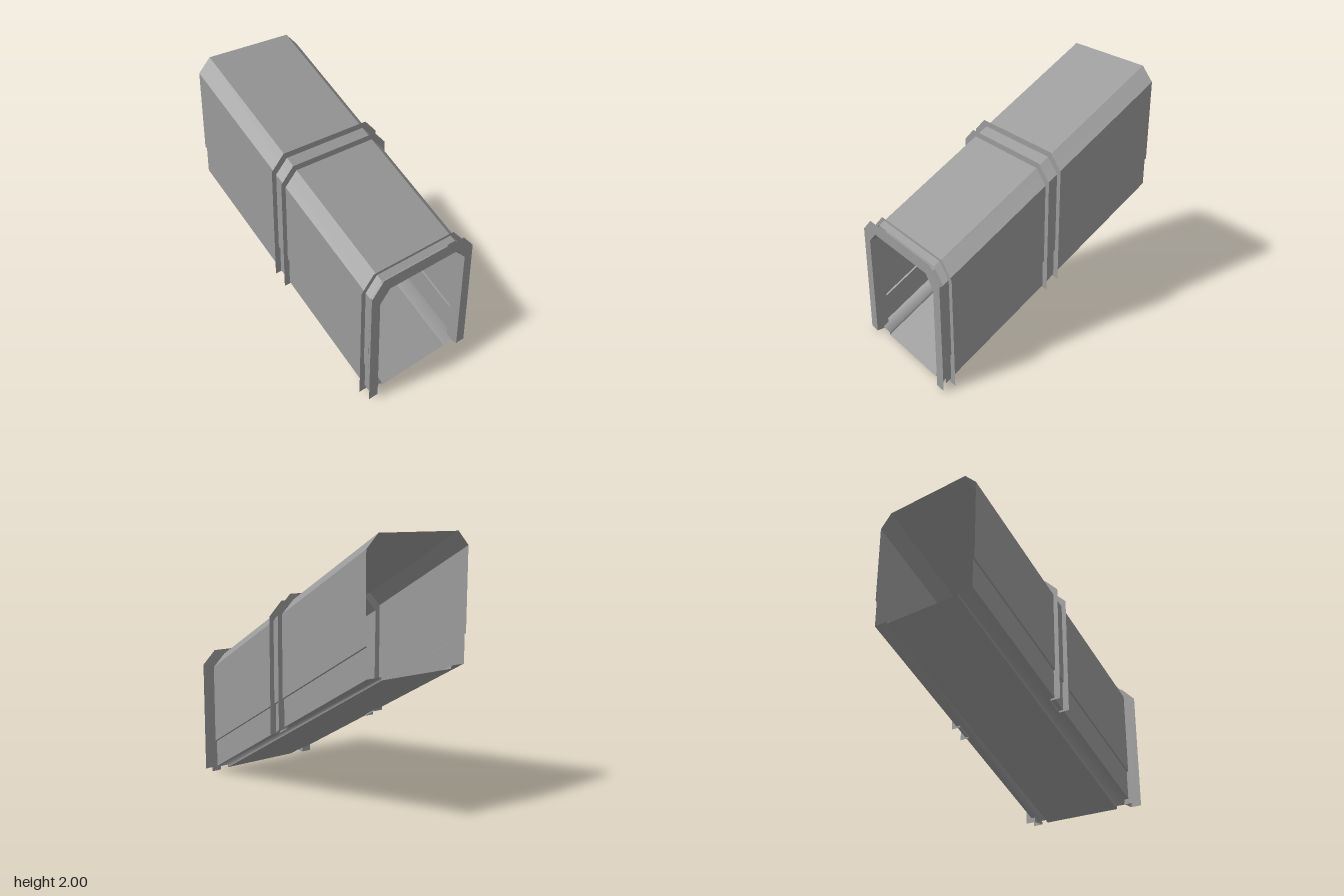
import * as THREE from 'three';
import { toCreasedNormals } from 'three/addons/utils/BufferGeometryUtils.js';

const SLOPE = 0.55;      // rise per unit of depth
const FRONT = 0.92;      // z of the lower mouth
const BACK = -0.974;     // z of the upper mouth
const rise = z => SLOPE * (FRONT - z);

const material = new THREE.MeshStandardMaterial({ color: 0x9a9a9a, side: THREE.DoubleSide });

// Mirrors a left-hand half profile (top to bottom) into a full one
const mirror = half => [...half.map(([x, y]) => [-x, y]).reverse(), ...half];

// Sweeps an open profile between two depths, each end lifted by its own height;
// edges sharper than the crease angle stay hard
function sweep(name, profile, z0, y0, z1, y1, crease = 0.1) {
  const pos = [];
  for (let i = 0; i < profile.length - 1; i++) {
    const [ax, ay] = profile[i], [bx, by] = profile[i + 1];
    const a = [ax, ay + y0, z0], b = [bx, by + y0, z0];
    const c = [bx, by + y1, z1], d = [ax, ay + y1, z1];
    pos.push(...a, ...b, ...c, ...a, ...c, ...d);
  }
  const geo = new THREE.BufferGeometry();
  geo.setAttribute('position', new THREE.Float32BufferAttribute(pos, 3));
  geo.computeVertexNormals();
  const mesh = new THREE.Mesh(toCreasedNormals(geo, crease), material);
  mesh.name = name;
  return mesh;
}

const outerArch = mirror([[0.40, 1.0], [0.51, 0.89], [0.51, 0.01]]);
const innerArch = mirror([[0.34, 0.91], [0.43, 0.82], [0.425, 0.01]]);

// Collar: two thin arch plates joined by an inner lining, open on the outside
function collar(name, z0, y0, z1, y1) {
  const group = new THREE.Group();
  group.name = name;
  const outline = [...outerArch, ...[...innerArch].reverse()];
  const shape = new THREE.Shape(outline.map(([x, y]) => new THREE.Vector2(x, y)));
  [['frontPlate', z0, y0], ['rearPlate', z1, y1]].forEach(([part, z, y], i) => {
    const geo = new THREE.ShapeGeometry(shape);
    if (i) geo.rotateY(Math.PI);
    const plate = new THREE.Mesh(geo, material);
    plate.name = part;
    plate.position.set(0, y, z);
    group.add(plate);
  });
  group.add(sweep('lining', innerArch, z0, y0, z1, y1));
  return group;
}

export function createModel() {
  const model = new THREE.Group();
  model.name = 'slopedPassage';

  // Roof, chamfers and side walls, with a small step low on each wall
  const shell = mirror([[0.37, 0.957], [0.473, 0.857], [0.473, 0.24], [0.46, 0.235], [0.46, 0.023]]);
  model.add(sweep('shell', shell, FRONT, 0, BACK, rise(BACK)));

  // Softly shaded gutters stepping down to the sunken floor
  for (const s of [-1, 1]) {
    const gutter = [[0.46, 0.023], [0.33, 0.023], [0.33, 0]];
    model.add(sweep(s > 0 ? 'leftGutter' : 'rightGutter',
      gutter.map(([x, y]) => [s * x, y]), FRONT, 0, BACK, rise(BACK), 1.7));
  }
  model.add(sweep('floor', [[0.33, 0], [-0.33, 0]], FRONT, 0, -0.978, rise(-0.978)));

  // Upright collar at the mouth and a sloping one halfway up
  model.add(collar('mouthCollar', 0.975, 0, 0.875, 0));
  model.add(collar('middleCollar', 0.035, rise(0.035), -0.07, rise(-0.07)));
  return model;
}
